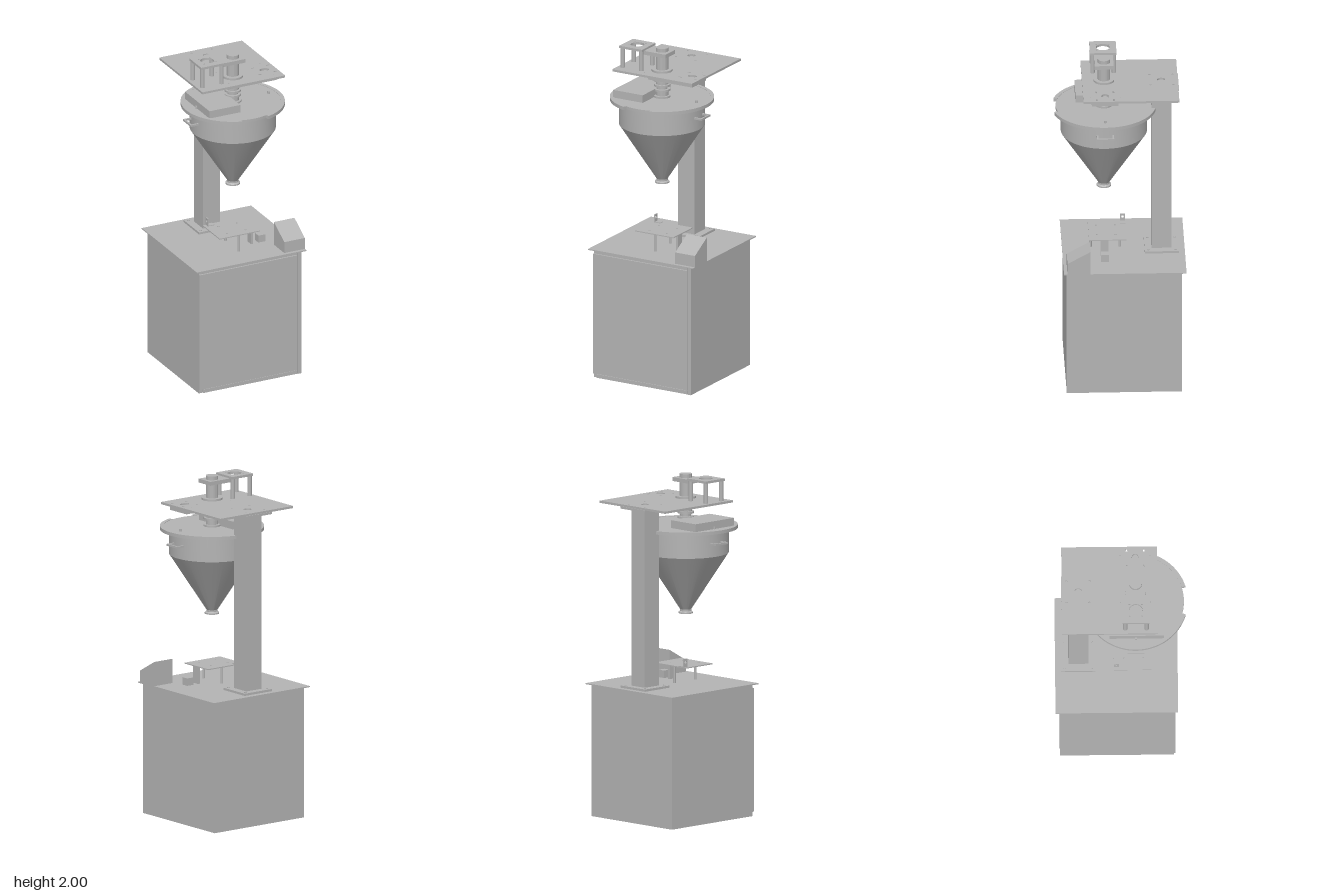
import * as THREE from 'three';
import { toCreasedNormals } from 'three/addons/utils/BufferGeometryUtils.js';

export function createModel() {
  const model = new THREE.Group();
  const steel = new THREE.MeshStandardMaterial({ color: 0xb3b3b3, side: THREE.DoubleSide });
  steel.name = 'steel grey';
  const AXIS = 0.087; // z of the hopper and shaft axis

  const add = (name, geo, x = 0, y = 0, z = 0) => {
    const m = new THREE.Mesh(geo, steel);
    m.name = name;
    m.position.set(x, y, z);
    model.add(m);
    return m;
  };
  // Box given by its limits on each axis
  const box = (name, x0, x1, y0, y1, z0, z1) =>
    add(name, new THREE.BoxGeometry(x1 - x0, y1 - y0, z1 - z0), (x0 + x1) / 2, (y0 + y1) / 2, (z0 + z1) / 2);
  const cyl = (name, r, y0, y1, x, z, n = 32) =>
    add(name, new THREE.CylinderGeometry(r, r, y1 - y0, n), x, (y0 + y1) / 2, z);
  const lathe = (name, pts) =>
    add(name, toCreasedNormals(new THREE.LatheGeometry(pts.map(p => new THREE.Vector2(...p)), 64), 0.4), 0, 0, AXIS);
  // Horizontal plate with elliptical holes [x, z, rx, rz]
  const plate = (name, x0, x1, y0, y1, z0, z1, holes) => {
    const s = new THREE.Shape();
    s.moveTo(x0, -z1).lineTo(x1, -z1).lineTo(x1, -z0).lineTo(x0, -z0).closePath();
    for (const [x, z, rx, rz = rx] of holes) {
      s.holes.push(new THREE.Path().absellipse(x, -z, rx, rz, 0, Math.PI * 2, true));
    }
    const g = new THREE.ExtrudeGeometry(s, { depth: y1 - y0, bevelEnabled: false, curveSegments: 20 });
    g.rotateX(-Math.PI / 2);
    return add(name, toCreasedNormals(g, 0.5), 0, y0, 0);
  };

  // Cabinet with door and overhanging top
  box('cabinetBody', -0.33, 0.33, 0, 0.775, -0.355, 0.305);
  box('cabinetDoor', -0.33, 0.303, 0.025, 0.752, 0.305, 0.315);
  box('doorSill', -0.305, 0.303, 0, 0.022, 0.305, 0.312);
  box('doorHeader', -0.305, 0.303, 0.755, 0.775, 0.305, 0.312);
  box('doorPost', 0.307, 0.33, 0, 0.775, 0.305, 0.315);
  box('cabinetTop', -0.355, 0.355, 0.775, 0.781, -0.38, 0.33);

  // Column with bolted flanges
  box('column', -0.055, 0.055, 0.78, 1.84, -0.303, -0.187);
  box('columnBase', -0.1, 0.1, 0.78, 0.794, -0.345, -0.147);
  box('columnHead', -0.1, 0.1, 1.833, 1.846, -0.345, -0.147);
  for (const x of [-0.08, 0.08]) for (const z of [-0.325, -0.167]) cyl('baseBolt', 0.007, 0.79, 0.799, x, z, 12);

  // Sloped control box
  const side = new THREE.Shape();
  side.moveTo(-0.31, 0.78).lineTo(-0.177, 0.78).lineTo(-0.177, 0.925).lineTo(-0.31, 0.85).closePath();
  const control = new THREE.ExtrudeGeometry(side, { depth: 0.133, bevelEnabled: false });
  control.rotateY(Math.PI / 2);
  add('controlBox', control, 0.222, 0, 0);

  // Small work table on supports
  plate('workTable', -0.13, 0.13, 0.883, 0.889, -0.04, 0.177,
    [[-0.06, 0.13, 0.006], [0.06, 0.13, 0.006], [0.06, 0.02, 0.006], [-0.06, 0.02, 0.006]]);
  cyl('tableLegBack', 0.008, 0.78, 0.884, 0, -0.005, 16);
  cyl('tableLegFront', 0.008, 0.78, 0.884, 0, 0.165, 16);
  box('tableBracket', 0.107, 0.121, 0.78, 0.884, 0.065, 0.11);
  box('sensorBlock', 0.155, 0.2, 0.78, 0.825, 0.065, 0.11);
  box('sensorFoot', -0.11, -0.07, 0.889, 0.893, -0.04, -0.01);
  const tab = new THREE.Shape();
  tab.moveTo(0.01, 0.889).lineTo(0.04, 0.889).lineTo(0.04, 0.937).lineTo(0.01, 0.937).closePath();
  tab.holes.push(new THREE.Path().absarc(0.025, 0.918, 0.008, 0, Math.PI * 2, true));
  const tabGeo = new THREE.ExtrudeGeometry(tab, { depth: 0.005, bevelEnabled: false });
  tabGeo.rotateY(Math.PI / 2);
  add('sensorTab', tabGeo, -0.112, 0, 0);

  // Hopper: thin shell with a flanged outlet
  lathe('hopper', [[0.245, 1.685], [0.245, 1.542], [0.027, 1.205], [0.027, 1.18], [0.042, 1.18], [0.042, 1.188],
    [0.033, 1.194], [0.033, 1.205], [0.25, 1.54], [0.25, 1.685]]);
  cyl('hopperLid', 0.28, 1.684, 1.701, 0, AXIS, 72);

  // Rim clamp, open at the front
  const ring = new THREE.Shape();
  const gap = 0.29;
  ring.absarc(0, 0, 0.302, -Math.PI / 2 + gap, Math.PI * 1.5 - gap, false);
  ring.absarc(0, 0, 0.279, Math.PI * 1.5 - gap, -Math.PI / 2 + gap, true);
  const ringGeo = new THREE.ExtrudeGeometry(ring, { depth: 0.02, bevelEnabled: false, curveSegments: 72 });
  ringGeo.rotateX(-Math.PI / 2);
  add('rimClamp', toCreasedNormals(ringGeo, 0.5), 0, 1.683, AXIS);
  box('lidHatch', -0.233, -0.033, 1.7, 1.747, -0.065, 0.25);

  // Side handles
  for (const s of [-1, 1]) {
    box('handleGrip', s * 0.292 - 0.005, s * 0.292 + 0.005, 1.615, 1.626, 0.037, 0.137);
    for (const z of [0.042, 0.132]) box('handleArm', s * 0.266 - 0.026, s * 0.266 + 0.026, 1.615, 1.626, z - 0.005, z + 0.005);
    cyl('lidStud', 0.007, 1.7, 1.716, s * 0.235, AXIS, 12);
  }

  // Stirrer shaft and stepped bearing below the deck
  lathe('shaftBearing', [[0, 1.7], [0.05, 1.7], [0.05, 1.712], [0.036, 1.712], [0.036, 1.74], [0.048, 1.74],
    [0.048, 1.752], [0.032, 1.752], [0.032, 1.768], [0.048, 1.768], [0.048, 1.78], [0.036, 1.78],
    [0.036, 1.8], [0.052, 1.8], [0.052, 1.846], [0, 1.846]]);

  // Drilled deck with cover below it
  const holes = [[0, -0.245, 0.023], [0.204, AXIS, 0.028, 0.021]];
  for (const x of [-0.066, 0.066]) for (const z of [-0.313, -0.18]) holes.push([x, z, 0.006]);
  for (const x of [-0.066, 0.222]) for (const z of [0, 0.173]) holes.push([x, z, 0.003]);
  for (const x of [0.153, 0.252]) for (const z of [0.037, 0.137]) holes.push([x, z, 0.012, 0.005]);
  plate('deck', -0.26, 0.276, 1.845, 1.858, -0.341, 0.214, holes);
  box('driveCover', -0.05, 0.25, 1.817, 1.845, 0.01, 0.165);

  // Drive head on the deck
  lathe('driveHead', [[0, 1.857], [0.06, 1.857], [0.06, 1.87], [0.036, 1.87], [0.036, 2], [0, 2]]);
  box('driveBridge', -0.092, 0.055, 1.955, 1.978, 0.032, 0.142);

  // Motor stand on four posts
  const motorHoles = [[-0.166, AXIS, 0.04]];
  for (const sx of [-1, 1]) for (const sz of [-1, 1]) {
    motorHoles.push([-0.166 + sx * 0.036, AXIS + sz * 0.036, 0.005]);
    cyl('standPost', 0.013, 1.857, 1.977, -0.166 + sx * 0.062, AXIS + sz * 0.062, 20);
  }
  plate('motorStand', -0.243, -0.089, 1.976, 1.99, 0.01, 0.164, motorHoles);

  return model;
}
